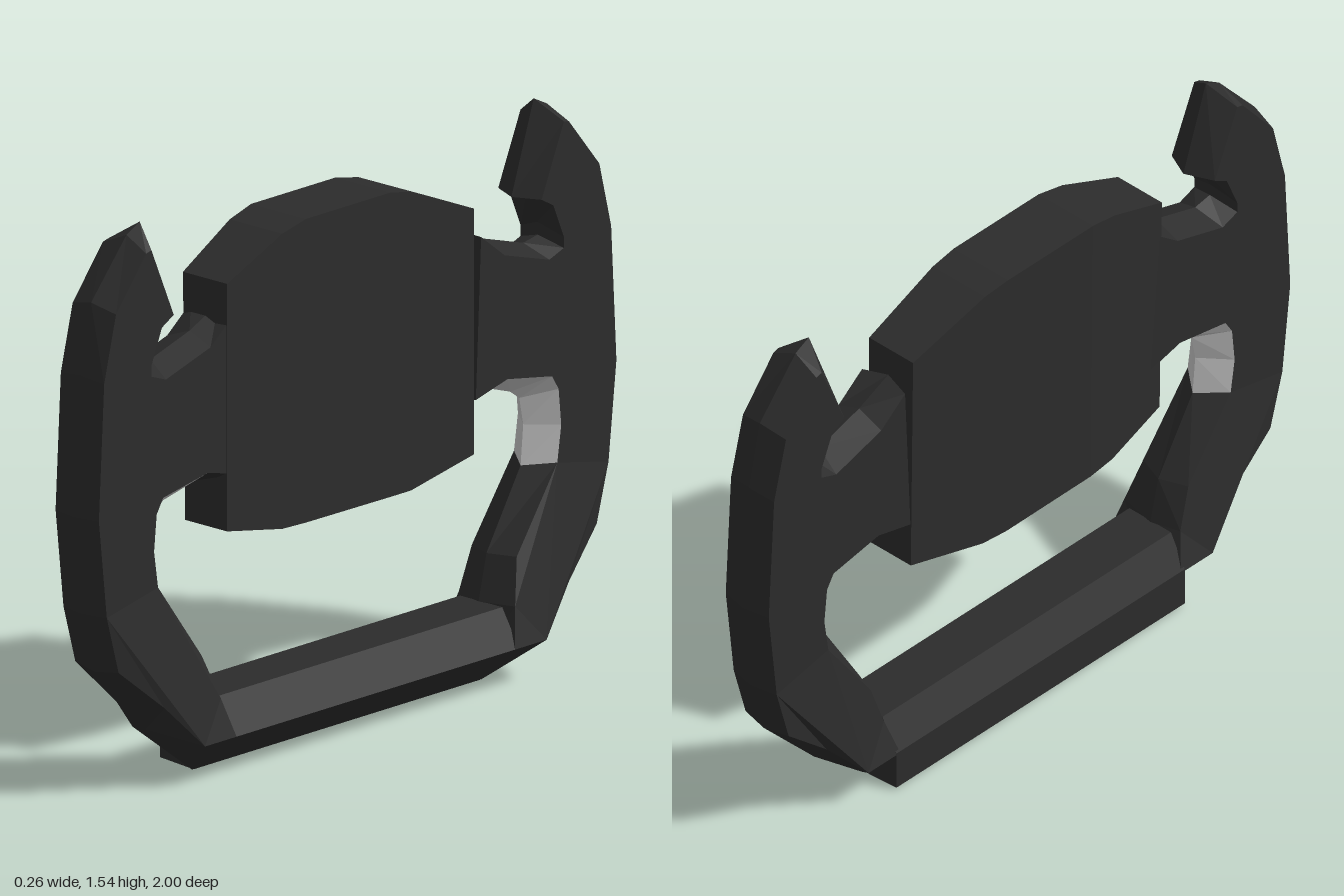
import * as THREE from 'three';

const dark = new THREE.MeshStandardMaterial({ color: 0x2c2c2c });
dark.name = 'charcoal';
const silver = new THREE.MeshStandardMaterial({ color: 0xc8c8c8 });
silver.name = 'silver';

// Grip outline: z, y on the middle ridge, then z, y on the bevelled side faces
const OUTLINE = [
  [0.75, 1.54, 0.785, 1.485], [0.8, 1.515, 0.805, 1.48], [0.935, 1.36, 0.92, 1.34],
  [0.975, 1.17, 0.965, 1.16], [1, 0.79, 0.985, 0.79], [0.97, 0.52, 0.955, 0.52],
  [0.92, 0.35, 0.91, 0.36], [0.73, 0.15, 0.77, 0.24], [0.55, 0, 0.65, 0.115],
  [0.53, 0.05, 0.53, 0.115], [0.54, 0.215, 0.56, 0.22], [0.57, 0.34, 0.6, 0.34],
  [0.7, 0.55, 0.76, 0.56], [0.71, 0.66, 0.775, 0.66], [0.695, 0.735, 0.765, 0.76],
  [0.66, 0.76, 0.74, 0.8], [0.57, 0.79, 0.57, 0.83], [0.445, 0.78, 0.45, 0.8],
  [0.45, 1.25, 0.47, 1.24], [0.56, 1.2, 0.56, 1.17], [0.71, 1.155, 0.73, 1.12],
  [0.765, 1.165, 0.785, 1.14], [0.765, 1.2, 0.785, 1.17], [0.72, 1.285, 0.745, 1.265],
  [0.665, 1.29, 0.7, 1.29],
];
const SILVER_FROM = 12, SILVER_TO = 15;

// The grips widen towards the bottom bar
const ramp = (y, top, height) => THREE.MathUtils.clamp((top - y) / height, 0, 1);
const nearX = (y) => 0.065 + 0.065 * ramp(y, 0.36, 0.245);
const farX = (y) => -0.09 - 0.04 * ramp(y, 0.25, 0.13);

function flatMesh(positions, material, name) {
  const geometry = new THREE.BufferGeometry();
  geometry.setAttribute('position', new THREE.Float32BufferAttribute(positions, 3));
  geometry.computeVertexNormals();
  const mesh = new THREE.Mesh(geometry, material);
  mesh.name = name;
  return mesh;
}

// One grip with its spoke: two side faces joined by a ridged wall
function makeGrip(side, name) {
  const layers = [
    OUTLINE.map(([, , z, y]) => [farX(y), y, z * side]),
    OUTLINE.map(([z, y]) => [-0.01, y, z * side]),
    OUTLINE.map(([, , z, y]) => [nearX(y), y, z * side]),
  ];
  const body = [], inlay = [];
  const add = (list, a, b, c, flip) => list.push(...a, ...(flip ? c : b), ...(flip ? b : c));

  // Ridged walls, with the silver inlay inside the hand opening
  const n = OUTLINE.length;
  for (let k = 0; k < 2; k++) {
    for (let i = 0; i < n; i++) {
      const j = (i + 1) % n;
      const list = i >= SILVER_FROM && i <= SILVER_TO ? inlay : body;
      const [low, high] = [layers[k], layers[k + 1]];
      add(list, low[i], low[j], high[j], side < 0);
      add(list, low[i], high[j], high[i], side < 0);
    }
  }

  // Side faces
  const contour = OUTLINE.map(([, , z, y]) => new THREE.Vector2(z, y));
  for (const [a, b, c] of THREE.ShapeUtils.triangulateShape(contour, [])) {
    for (const [layer, facing] of [[layers[0], -1], [layers[2], 1]]) {
      const [p, q, r] = [layer[a], layer[b], layer[c]];
      const normalX = (q[1] - p[1]) * (r[2] - p[2]) - (q[2] - p[2]) * (r[1] - p[1]);
      add(body, p, q, r, normalX * facing < 0);
    }
  }

  const grip = new THREE.Group();
  grip.name = name;
  grip.add(flatMesh(body, dark, 'gripBody'), flatMesh(inlay, silver, 'gripInlay'));
  return grip;
}

// Central hub: a box shaped column by column, bulging on its far side
function makeHub() {
  const zs = [-0.44, -0.2, -0.12, 0.2, 0.29, 0.5];
  const tops = [1.325, 1.425, 1.44, 1.44, 1.42, 1.33];
  const bottoms = [0.655, 0.61, 0.61, 0.612, 0.615, 0.655];
  const backs = [-0.09, -0.12, -0.128, -0.128, -0.12, -0.09];
  const box = new THREE.BoxGeometry(1, 1, 1, 1, 1, 5);
  const p = box.attributes.position;
  for (let i = 0; i < p.count; i++) {
    const c = Math.round((p.getZ(i) + 0.5) * 5);
    const top = p.getY(i) > 0;
    const x = p.getX(i) > 0 ? 0.068 : backs[c] + (top ? 0 : 0.008);
    p.setXYZ(i, x, top ? tops[c] : bottoms[c], zs[c]);
  }
  const geometry = box.toNonIndexed();
  geometry.computeVertexNormals();
  const hub = new THREE.Mesh(geometry, dark);
  hub.name = 'hub';
  return hub;
}

// Faceted bar joining the grips at the bottom
function makeBottomBar() {
  const section = [[-0.01, 0], [0.13, 0.115], [0.07, 0.215], [-0.08, 0.215], [-0.13, 0.12], [-0.13, 0.008]];
  const shape = new THREE.Shape(section.map(([x, y]) => new THREE.Vector2(x, y)));
  const geometry = new THREE.ExtrudeGeometry(shape, { depth: 1.09, bevelEnabled: false });
  geometry.translate(0, 0, -0.545);
  const bar = new THREE.Mesh(geometry, dark);
  bar.name = 'bottomBar';
  return bar;
}

export function createModel() {
  const wheel = new THREE.Group();
  wheel.name = 'steeringWheel';
  wheel.add(makeGrip(1, 'frontGrip'), makeGrip(-1, 'rearGrip'), makeHub(), makeBottomBar());
  return wheel;
}
